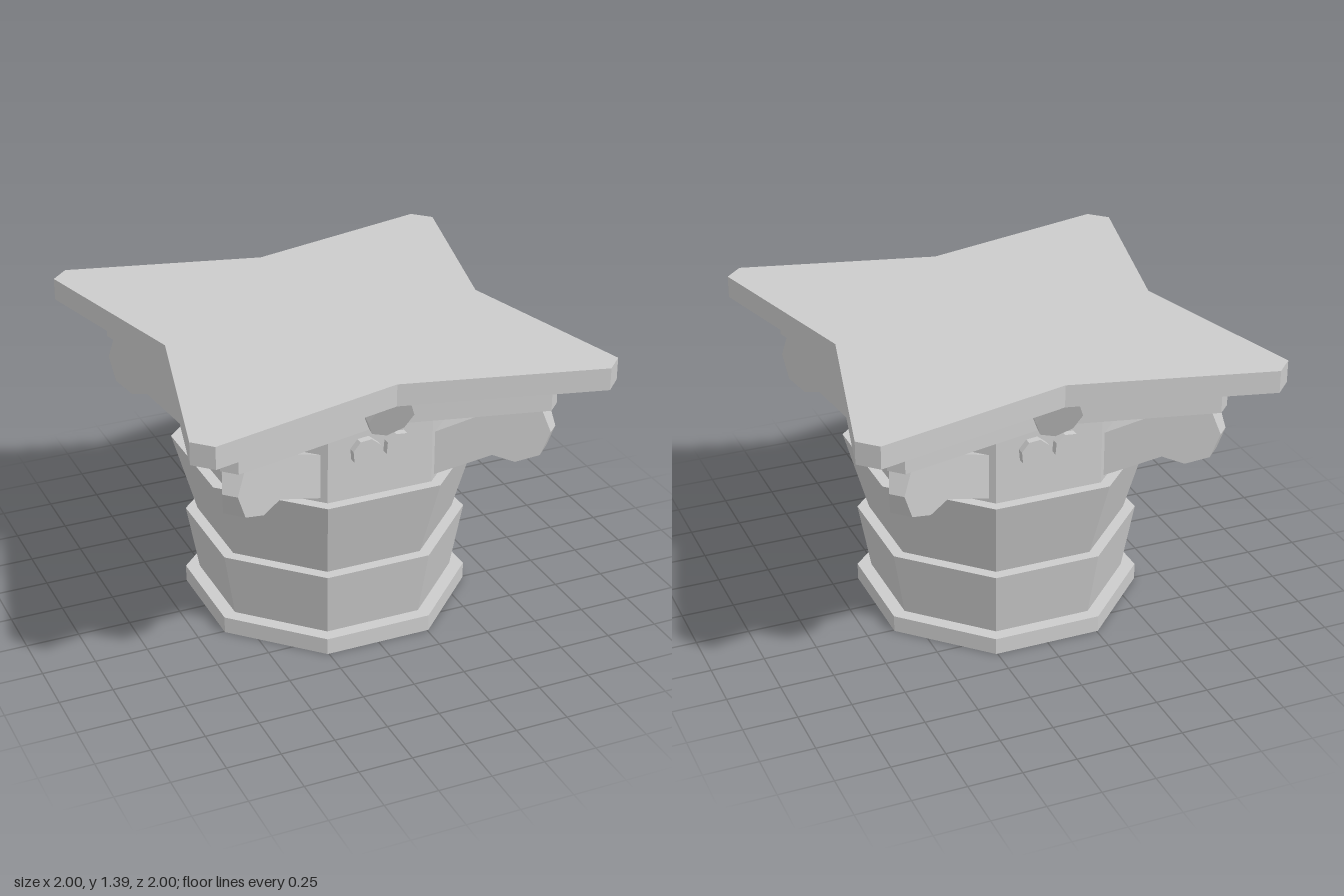
import * as THREE from 'three';

const material = new THREE.MeshStandardMaterial({ color: 0xcccccc, flatShading: true });

function add(parent, name, geometry) {
  const mesh = new THREE.Mesh(geometry, material);
  mesh.name = name;
  parent.add(mesh);
  return mesh;
}

// Octagonal tier with flat sides facing the axes; sizes are half-widths across flats
function tier(bottom, top, y0, y1) {
  const k = 1 / Math.cos(Math.PI / 8);
  return new THREE.CylinderGeometry(top * k, bottom * k, y1 - y0, 8, 1, false, Math.PI / 8)
    .translate(0, (y0 + y1) / 2, 0);
}

// Four-pointed plate with clipped tips
function starPlate(tip, clip, waist, y0, y1) {
  const points = [];
  for (let i = 0; i < 4; i++) {
    const turn = new THREE.Vector2();
    for (const [x, y] of [[waist, 0], [tip, clip], [clip, tip]]) {
      points.push(new THREE.Vector2(x, y).rotateAround(turn, i * Math.PI / 2));
    }
  }
  return new THREE.ExtrudeGeometry(new THREE.Shape(points), { depth: y1 - y0, bevelEnabled: false })
    .rotateX(-Math.PI / 2).translate(0, y0, 0);
}

// Side profile (distance out, height) whose two faces follow the rules near(s) and far(s)
function slab(profile, near, far) {
  const shape = new THREE.Shape(profile.map(([s, y]) => new THREE.Vector2(s, y)));
  const geometry = new THREE.ExtrudeGeometry(shape, { depth: 1, bevelEnabled: false });
  const p = geometry.attributes.position;
  for (let i = 0; i < p.count; i++) {
    const s = p.getX(i);
    p.setZ(i, p.getZ(i) < 0.5 ? near(s) : far(s));
  }
  geometry.computeVertexNormals();
  return geometry;
}

export function createModel() {
  const model = new THREE.Group();
  model.name = 'columnCapital';

  // Stacked body
  add(model, 'baseRing', tier(0.62, 0.62, 0, 0.08));
  add(model, 'lowerLeafTier', tier(0.558, 0.612, 0.08, 0.4));
  add(model, 'upperLeafTier', tier(0.56, 0.665, 0.4, 0.787));
  add(model, 'drum', tier(0.615, 0.615, 0.787, 1.13));
  add(model, 'lowerAbacus', starPlate(0.805, 0.745, 0.63, 1.13, 1.285));
  add(model, 'abacus', starPlate(1, 0.918, 0.772, 1.285, 1.39));

  // Corner volutes taper from two legs at the drum to a narrow scroll
  const outer = s => 0.22 - (s - 0.615) * 0.381;
  const inner = s => 0.08 - (s - 0.615) * 0.184;
  const scroll = [[0.856, 0.905], [0.953, 0.87], [1.056, 0.905], [1.097, 1.02], [1.056, 1.13], [0.861, 1.13]];
  const leg = [[0.6, 0.8], [0.856, 0.905], [0.861, 1.13], [0.6, 1.015]];

  for (let i = 0; i < 4; i++) {
    const corner = new THREE.Group();
    corner.name = 'cornerVolute';
    corner.rotation.y = Math.PI / 4 + i * Math.PI / 2;
    add(corner, 'scroll', slab(scroll, s => -outer(s), outer));
    add(corner, 'leftLeg', slab(leg, inner, outer));
    add(corner, 'rightLeg', slab(leg, s => -outer(s), s => -inner(s)));
    model.add(corner);

    // Flower and pair of small scrolls on each main side
    const side = new THREE.Group();
    side.name = 'sideOrnament';
    side.rotation.y = i * Math.PI / 2;
    const flower = add(side, 'flower', new THREE.CylinderGeometry(0.11, 0.11, 0.16, 8).translate(0, -0.08, 0));
    flower.rotation.x = Math.PI / 2 + 0.42;
    flower.position.set(0, 1.2, 0.72);
    for (const x of [-0.08, 0.08]) {
      const disc = add(side, 'smallScroll',
        new THREE.CylinderGeometry(0.07, 0.07, 0.08, 8, 1, false, Math.sign(x) * 0.3));
      disc.rotation.x = Math.PI / 2;
      disc.position.set(x, 1.015, 0.61);
    }
    model.add(side);
  }
  return model;
}
